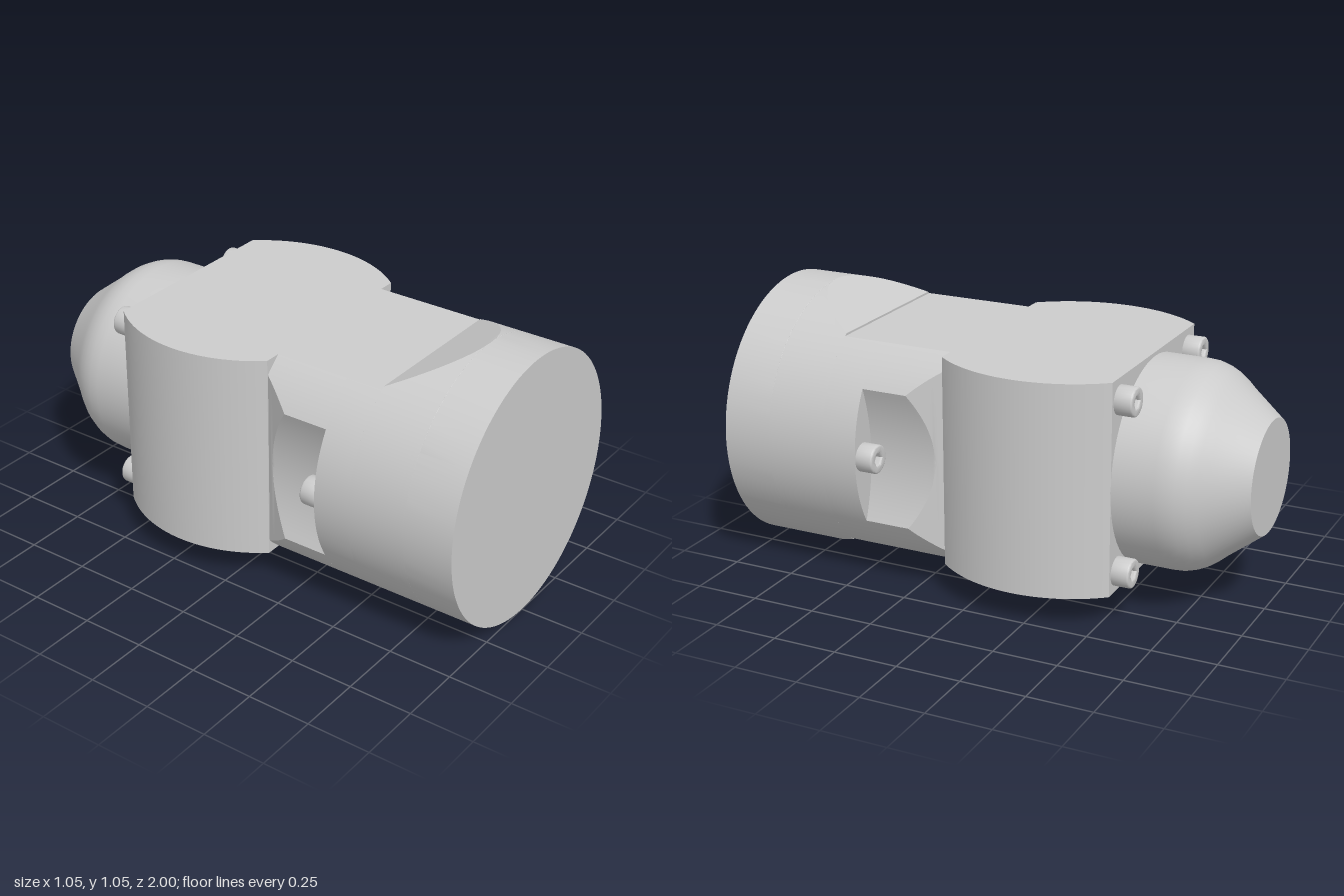
import * as THREE from 'three';
import { toCreasedNormals } from 'three/addons/utils/BufferGeometryUtils.js';

const R = 0.525;          // barrel radius, also the height of its axis
const FLAT = 0.41;        // half height between top and bottom flats
const GROOVE = 0.405;     // depth of the concave side pockets
const material = new THREE.MeshStandardMaterial({ color: 0xcccccc });

function addMesh(parent, name, geometry, crease = 0.35) {
  const mesh = new THREE.Mesh(toCreasedNormals(geometry, crease), material);
  mesh.name = name;
  parent.add(mesh);
  return mesh;
}

// Circle cut by side planes x = X and flats y = Y, with optional concave sides
function ring([z, X, Y, grooved]) {
  const a0 = Math.acos(Math.min(1, X / R)), a1 = Math.asin(Math.min(1, Y / R));
  const h = R * Math.sin(a0), K = 10, M = 24, q = [];
  const yc = grooved ? Math.min(h, Math.sqrt(Math.max(0, X - GROOVE) * 1.373)) : 0;
  for (let i = 0; i <= K; i++) {
    const y = yc * i / K;
    q.push([grooved ? Math.min(X, GROOVE + y * y / 1.373) : X, y]);
  }
  for (let i = 0; i <= M; i++) {
    const a = a0 + (a1 - a0) * i / M;
    q.push([R * Math.cos(a), R * Math.sin(a)]);
  }
  q.push([0, Y]);
  const back = [...q].reverse();
  return [
    ...q,
    ...back.map(([x, y]) => [-x, y]),
    ...q.map(([x, y]) => [-x, -y]),
    ...back.map(([x, y]) => [x, -y]),
  ].map(([x, y]) => new THREE.Vector3(x, y + R, z));
}

// Skin the sections from front to back and cap both ends
function loft(sections) {
  const rings = sections.map(ring), pos = [], n = rings[0].length;
  const ab = new THREE.Vector3(), ac = new THREE.Vector3();
  const tri = (a, b, c) => {
    ab.subVectors(b, a);
    ac.subVectors(c, a);
    if (ab.cross(ac).length() > 1e-9) for (const p of [a, b, c]) pos.push(p.x, p.y, p.z);
  };
  const first = rings[0], last = rings[rings.length - 1];
  const c0 = new THREE.Vector3(0, R, first[0].z), c1 = new THREE.Vector3(0, R, last[0].z);
  for (let i = 0; i < n; i++) {
    const j = (i + 1) % n;
    for (let k = 0; k + 1 < rings.length; k++) {
      const a = rings[k], b = rings[k + 1];
      tri(a[i], b[i], a[j]);
      tri(a[j], b[i], b[j]);
    }
    tri(c0, first[i], first[j]);
    tri(c1, last[j], last[i]);
  }
  const g = new THREE.BufferGeometry();
  g.setAttribute('position', new THREE.Float32BufferAttribute(pos, 3));
  return g;
}

// Upright slab with round sides and flat front and back
function slab(radius, half, y0, y1) {
  const a = Math.asin(half / radius);
  const s = new THREE.Shape();
  s.absarc(0, 0.205, radius, -a, a);
  s.absarc(0, 0.205, radius, Math.PI - a, Math.PI + a);
  s.closePath();
  return new THREE.ExtrudeGeometry(s, { depth: y1 - y0, bevelEnabled: false, curveSegments: 32 })
    .rotateX(-Math.PI / 2).translate(0, y0, 0);
}

// Socket head screw facing the back
function addBolt(parent, name, x, y, z) {
  const bolt = new THREE.Group();
  bolt.name = name;
  const s = new THREE.Shape().absarc(0, 0, 0.048, 0, Math.PI * 2);
  const hex = new THREE.Path();
  for (let i = 0; i <= 6; i++) {
    const a = -i * Math.PI / 3;
    hex[i ? 'lineTo' : 'moveTo'](0.033 * Math.cos(a), 0.033 * Math.sin(a));
  }
  s.holes.push(hex);
  const head = new THREE.ExtrudeGeometry(s, {
    depth: 0.061, bevelSize: 0.007, bevelThickness: 0.007, bevelSegments: 3, curveSegments: 16,
  });
  addMesh(bolt, 'boltHead', head, 0.6);
  addMesh(bolt, 'socketFloor', new THREE.CylinderGeometry(0.04, 0.04, 0.03, 24)
    .rotateX(Math.PI / 2).translate(0, 0, 0.015));
  bolt.rotation.y = Math.PI;
  bolt.position.set(x, y, z);
  parent.add(bolt);
}

export function createModel() {
  const model = new THREE.Group();
  model.name = 'jointHousing';

  // Round barrel with sloping cuts down to the top and bottom flats
  const barrel = [[1, R, R]];
  for (let i = 0; i <= 24; i++) {
    const t = (i / 24) ** 2;
    barrel.push([0.805 - 0.23 * t, R, R - 0.107 * t]);
  }
  barrel.push([0.575, R, FLAT], [0.43, R, FLAT]);
  addMesh(model, 'barrel', loft(barrel));

  // Neck with concave side pockets and tapering sides
  const neck = [[0.43, 0.455, FLAT, true]];
  for (let i = 0; i <= 16; i++) {
    const t = i / 16;
    neck.push([0.25 - 0.12 * t, 0.455 - 0.065 * t, FLAT, true]);
  }
  addMesh(model, 'neck', loft(neck));

  // Cross block and its base plate
  addMesh(model, 'crossBlock', slab(0.517, 0.335, 0.119, R + FLAT));
  addMesh(model, 'basePlate', slab(0.48, 0.325, 0.115, 0.125));

  // Rear dome with a flat end
  const profile = [
    [0, 0.5], [0.395, 0.5], [0.395, 0.7], [0.392, 0.74], [0.382, 0.775],
    [0.365, 0.81], [0.342, 0.842], [0.318, 0.87], [0.218, 1], [0, 1],
  ].map(([r, y]) => new THREE.Vector2(r, y));
  addMesh(model, 'rearDome', new THREE.LatheGeometry(profile, 64)
    .rotateX(-Math.PI / 2).translate(0, R, 0), 0.5);

  // Screws at the block corners and in the side pockets
  for (const side of [-1, 1]) {
    for (const up of [-1, 1]) addBolt(model, 'rearBolt', side * 0.327, R + up * 0.328, -0.54);
    addBolt(model, 'sideBolt', side * 0.467, R, 0.43);
  }
  return model;
}
